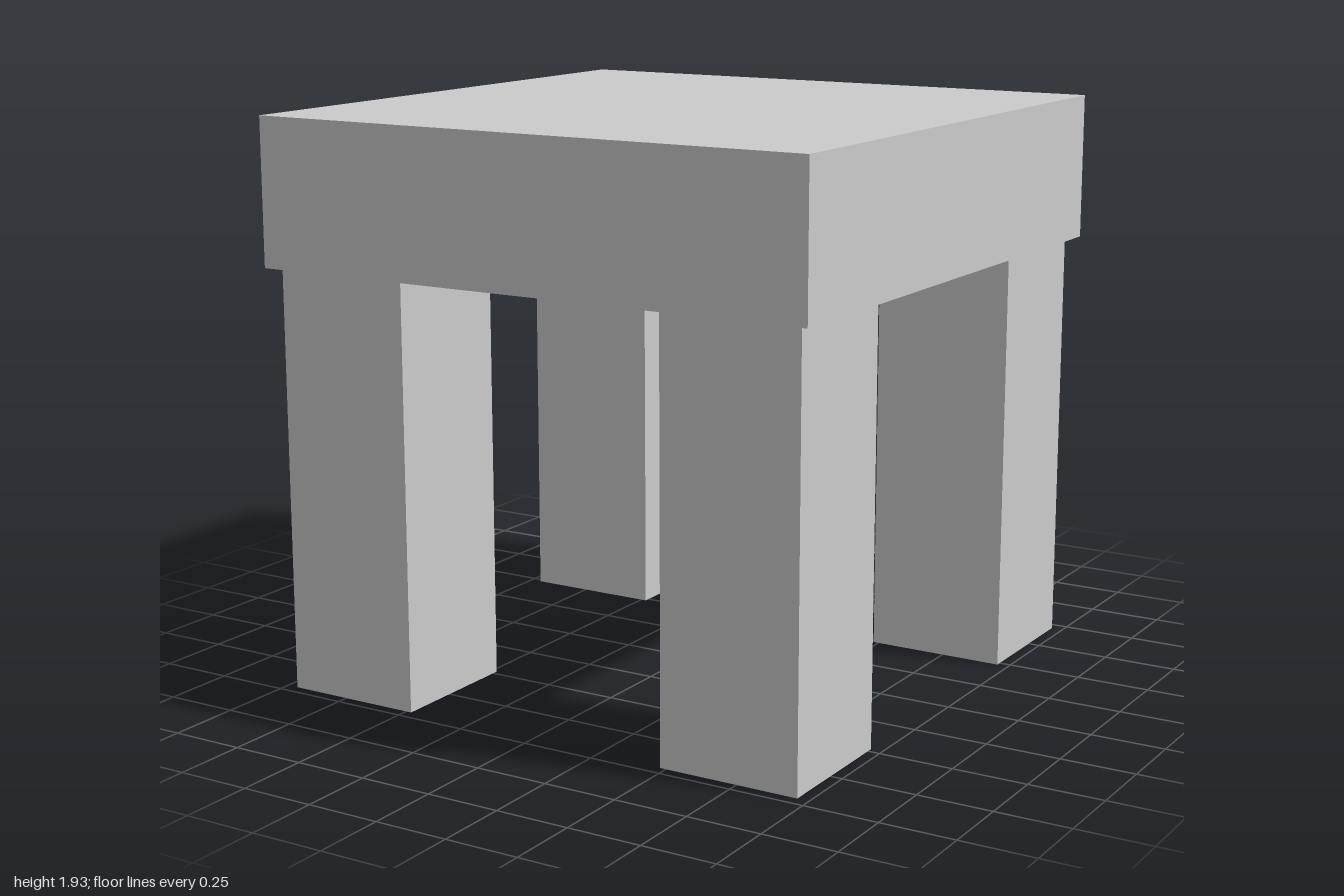
import * as THREE from 'three';

const TOP = 1.928, UNDER = 1.433, LID = 0.01; // heights of the seat
const INNER = 0.48, OUTER = 0.96;             // leg faces, measured from the centre

// Counter-clockwise square outline centred on the origin
function square(half, Type) {
  const path = new Type();
  path.moveTo(-half, -half);
  path.lineTo(half, -half);
  path.lineTo(half, half);
  path.lineTo(-half, half);
  path.closePath();
  return path;
}

export function createModel() {
  const model = new THREE.Group();
  model.name = 'stool';
  const material = new THREE.MeshStandardMaterial({ color: 0xcccccc, flatShading: true });

  function add(name, geometry, x, y, z) {
    const mesh = new THREE.Mesh(geometry, material);
    mesh.name = name;
    mesh.position.set(x, y, z);
    model.add(mesh);
  }

  // Thick seat frame, hollowed out from below between the legs
  const outline = square(1, THREE.Shape);
  outline.holes.push(square(INNER, THREE.Path));
  const frame = new THREE.ExtrudeGeometry(outline, { depth: TOP - LID - UNDER, bevelEnabled: false });
  frame.rotateX(-Math.PI / 2);
  add('seatFrame', frame, 0, UNDER, 0);

  // Thin panel closing the top of the seat
  add('seatTop', new THREE.BoxGeometry(2, LID, 2), 0, TOP - LID / 2, 0);

  // Four square legs, set in slightly from the seat edge
  const width = OUTER - INNER, centre = (OUTER + INNER) / 2;
  const leg = new THREE.BoxGeometry(width, UNDER, width);
  for (const [sx, side] of [[1, 'Left'], [-1, 'Right']]) {
    for (const [sz, end] of [[1, 'front'], [-1, 'back']]) {
      add(`${end}${side}Leg`, leg, sx * centre, UNDER / 2, sz * centre);
    }
  }
  return model;
}
